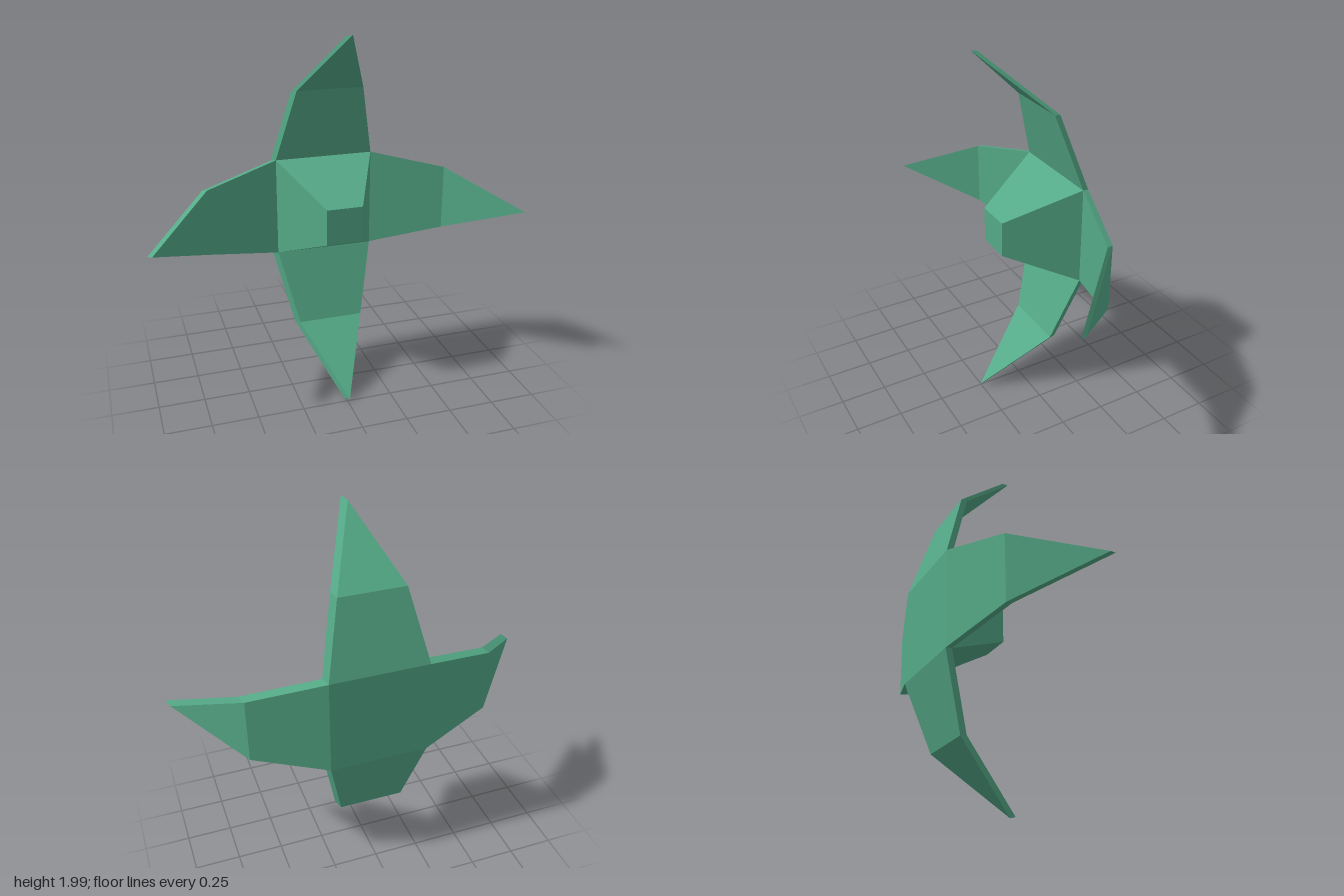
import * as THREE from 'three';

const material = new THREE.MeshStandardMaterial({ color: 0x55aa88, flatShading: true });

// Half the slanted thickness: the rear skin is the front skin shifted along this direction
const HALF = new THREE.Vector3(0.01, 0.0065, 0.0215);
const CENTRE_Y = 1;
const BASE = 0.27;

function meshFromFaces(name, points, faces) {
  const positions = [];
  for (const face of faces) {
    for (let i = 1; i < face.length - 1; i++) {
      for (const k of [face[0], face[i], face[i + 1]]) positions.push(...points[k].toArray());
    }
  }
  const geometry = new THREE.BufferGeometry();
  geometry.setAttribute('position', new THREE.Float32BufferAttribute(positions, 3));
  geometry.computeVertexNormals();
  const mesh = new THREE.Mesh(geometry, material);
  mesh.name = name;
  return mesh;
}

// A bent, pointed petal: [distance out, sideways offset, depth], anticlockwise from the front
function petal(name, angle) {
  const outline = [
    [BASE, -BASE, -0.238], [0.665, -0.18, -0.117], [0.99, 0, 0.237],
    [0.665, 0.18, -0.117], [BASE, BASE, -0.238],
  ];
  const c = Math.cos(angle), s = Math.sin(angle);
  const mid = outline.map(([u, v, z]) => new THREE.Vector3(u * c - v * s, CENTRE_Y + u * s + v * c, z));
  const points = [...mid.map(p => p.clone().add(HALF)), ...mid.map(p => p.clone().sub(HALF))];
  const faces = [[0, 1, 3, 4], [1, 2, 3], [9, 8, 6, 5], [8, 7, 6]];
  for (let i = 0; i < 4; i++) faces.push([i + 5, i + 6, i + 1, i]);
  return meshFromFaces(name, points, faces);
}

// Central block: slanted square slab carrying a truncated pyramid
function core() {
  const square = (half, x, y, z) => [[-1, -1], [1, -1], [1, 1], [-1, 1]]
    .map(([a, b]) => new THREE.Vector3(x + a * half, y + b * half, z));
  const points = [
    ...square(BASE, -HALF.x, CENTRE_Y - HALF.y, -0.2595),
    ...square(BASE, HALF.x, CENTRE_Y + HALF.y, -0.2165),
    ...square(0.097, HALF.x, CENTRE_Y + HALF.y, 0.157),
  ];
  const faces = [[3, 2, 1, 0], [8, 9, 10, 11]];
  for (let i = 0; i < 4; i++) {
    const j = (i + 1) % 4;
    faces.push([i + 4, j + 4, j + 8, i + 8]);
  }
  return meshFromFaces('core', points, faces);
}

export function createModel() {
  const group = new THREE.Group();
  group.name = 'fourPetalFlower';
  group.add(core());
  ['leftPetal', 'topPetal', 'rightPetal', 'bottomPetal']
    .forEach((name, i) => group.add(petal(name, i * Math.PI / 2)));
  return group;
}
